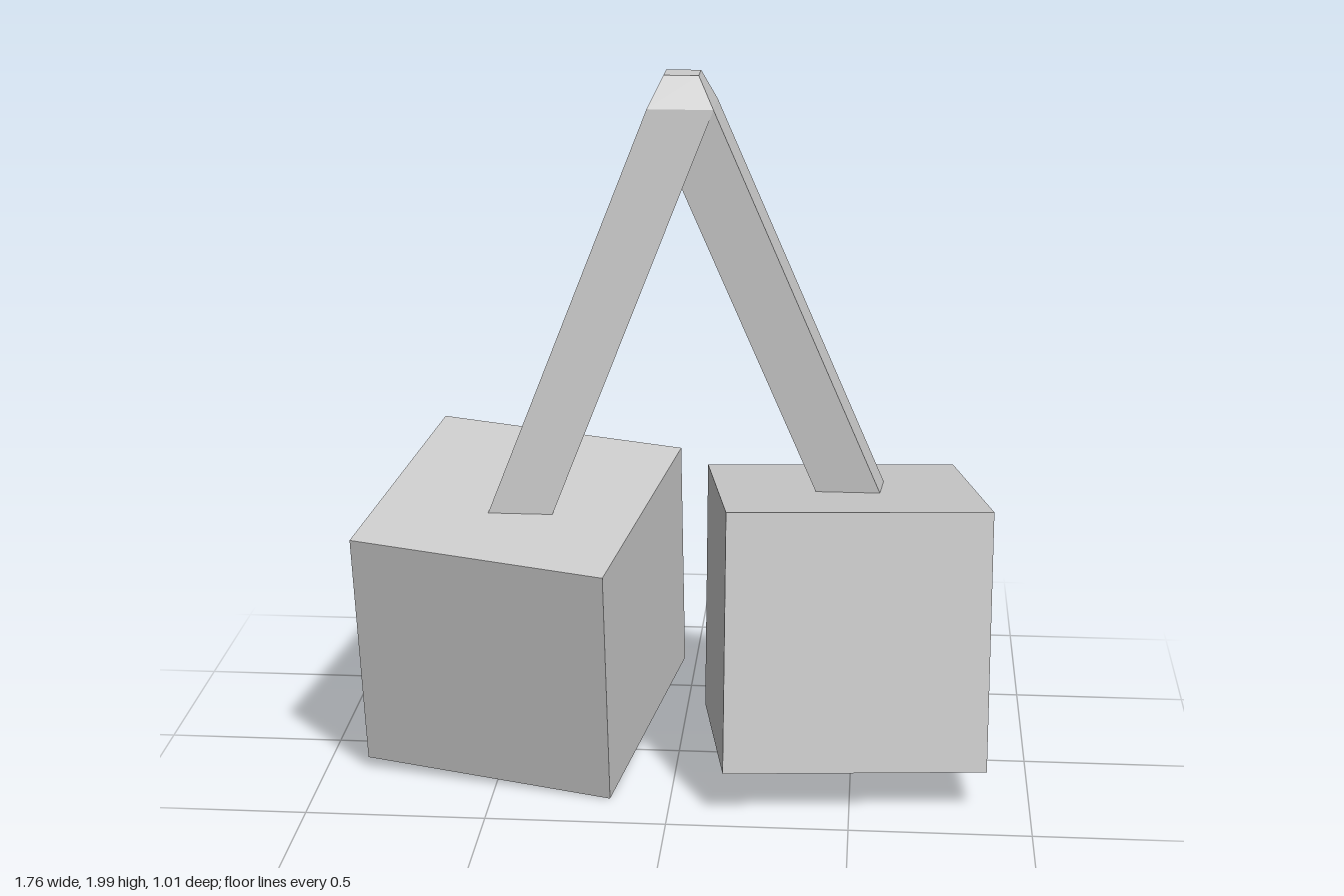
import * as THREE from 'three';

const material = new THREE.MeshStandardMaterial({ color: 0xcccccc, flatShading: true });

// Four-sided bar whose level ends may differ in centre and size: { x, y, z, w, d }
function taperedBar(name, bottom, top) {
  const geometry = new THREE.BoxGeometry(1, 1, 1);
  const p = geometry.attributes.position;
  for (let i = 0; i < p.count; i++) {
    const end = p.getY(i) > 0 ? top : bottom;
    p.setXYZ(i, end.x + p.getX(i) * end.w, end.y, end.z + p.getZ(i) * end.d);
  }
  geometry.computeVertexNormals();
  const mesh = new THREE.Mesh(geometry, material);
  mesh.name = name;
  return mesh;
}

// Cube turned about its own upright axis, then tipped forward or back
function tiltedCube(name, centre, tip, turn) {
  const size = 0.73;
  const mesh = new THREE.Mesh(new THREE.BoxGeometry(size, size, size), material);
  mesh.name = name;
  mesh.position.set(...centre);
  mesh.rotation.set(THREE.MathUtils.degToRad(tip), THREE.MathUtils.degToRad(turn), 0);
  return mesh;
}

export function createModel() {
  const model = new THREE.Group();
  model.name = 'hangingCubes';

  // Hanging cubes
  model.add(tiltedCube('rightCube', [-0.445, 0.455, -0.003], 12.3, -12.6));
  model.add(tiltedCube('leftCube', [0.468, 0.45, 0.004], -7.5, 7.5));

  // Arms meet at a shared square joint and run down into the cubes
  const joint = { x: 0.01, y: 1.915, z: 0.02, w: 0.18, d: 0.18 };
  const armEnd = (dx, dz) => {
    const y = 0.6, drop = joint.y - y;
    return { ...joint, y, x: joint.x + dx * drop, z: joint.z + dz * drop };
  };
  model.add(taperedBar('rightArm', armEnd(-0.39, 0.067), joint));
  model.add(taperedBar('leftArm', armEnd(0.427, -0.073), joint));

  // Chamfered cap above the joint
  model.add(taperedBar('topCap', joint, { ...joint, y: 2, w: 0.095, d: 0.093 }));

  return model;
}
